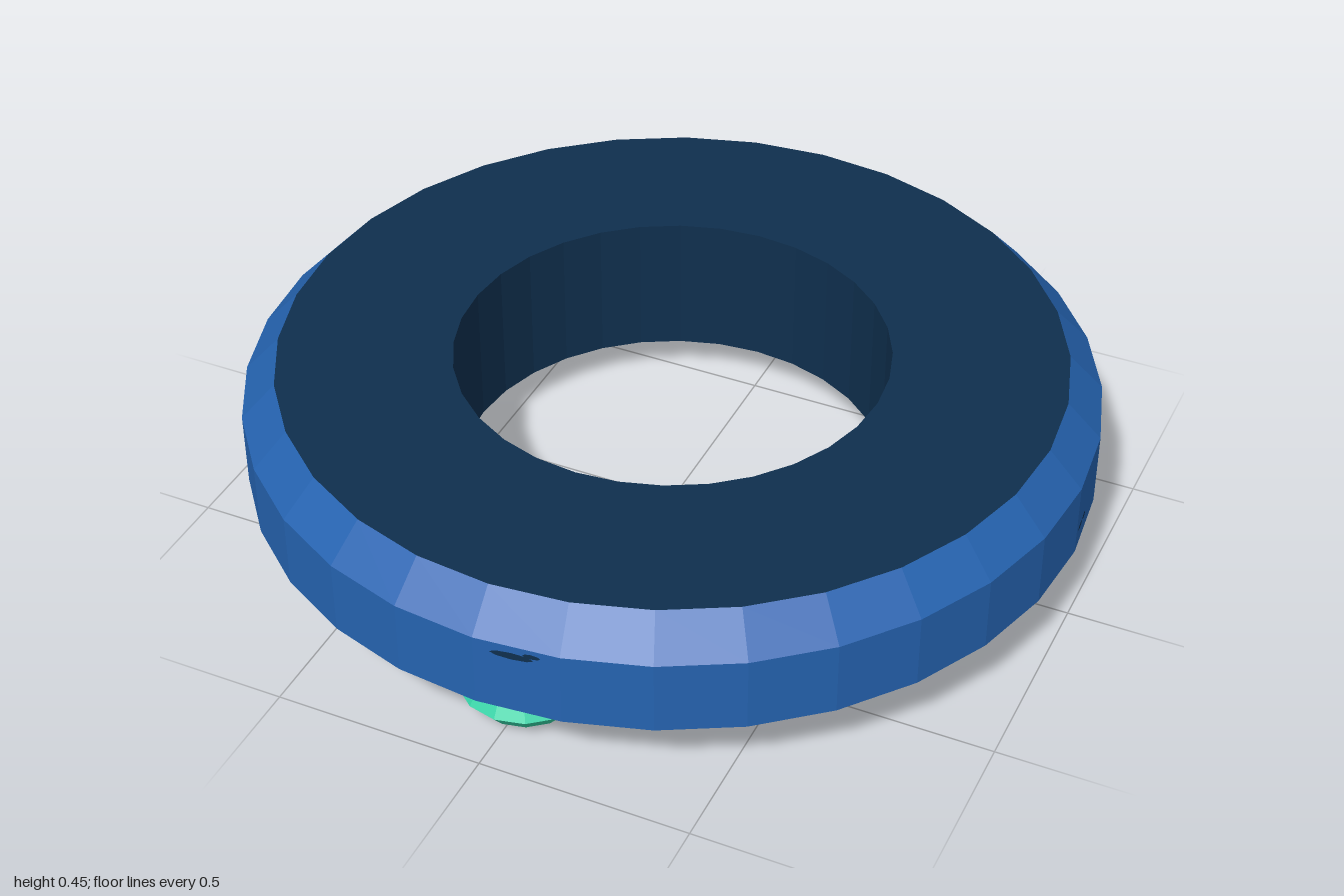
import * as THREE from 'three';

// Turns a profile of [radius, height] points, listed bottom to top on outer faces, into a faceted solid
function facetedLathe(profile, sides) {
  const points = profile.map(([r, y]) => new THREE.Vector2(r, y));
  const geometry = new THREE.LatheGeometry(points, sides).toNonIndexed();
  geometry.computeVertexNormals();
  return geometry;
}

export function createModel() {
  const model = new THREE.Group();
  model.name = 'footedRing';

  const blue = new THREE.MeshStandardMaterial({ name: 'blue', color: 0x2563b0 });
  const navy = new THREE.MeshStandardMaterial({ name: 'navy', color: 0x0f2f4e });
  const mint = new THREE.MeshStandardMaterial({ name: 'mint', color: 0x34d3a6 });

  function add(name, geometry, material) {
    const mesh = new THREE.Mesh(geometry, material);
    mesh.name = name;
    model.add(mesh);
    return mesh;
  }

  // Ring body: blue chamfered rim around a navy core with a round hole
  const SIDES = 32;
  add('outerRim', facetedLathe([[0.85, 0.1], [1, 0.185], [1, 0.365], [0.92, 0.45]], SIDES), blue);
  add('topFace', facetedLathe([[0.92, 0.45], [0.51, 0.45]], SIDES), navy);
  add('innerWall', facetedLathe([[0.51, 0.45], [0.51, 0.1]], SIDES), navy);
  add('bottomFace', facetedLathe([[0.51, 0.1], [0.85, 0.1]], SIDES), navy);

  // Four flattened round feet, one on each axis
  const footShape = facetedLathe(
    [[0, 0], [0.12, 0.022], [0.155, 0.065], [0.13, 0.105], [0, 0.125]], 14);
  for (let i = 0; i < 4; i++) {
    const angle = i * Math.PI / 2;
    add('foot', footShape, mint)
      .position.set(0.77 * Math.sin(angle), 0, 0.77 * Math.cos(angle));
  }

  // Small dark chips lying flat on the rim facets
  const facetAngle = Math.PI / SIDES;
  const apothem = Math.cos(facetAngle);
  function addChip(turn, offset, y, width, height) {
    const geometry = new THREE.CircleGeometry(0.5, 8);
    geometry.scale(width, height, 1);
    geometry.translate(offset, y, apothem + 0.002);
    geometry.rotateY(turn + facetAngle);
    add('rimChip', geometry, navy);
  }
  addChip(0, -0.01, 0.34, 0.1, 0.018);
  addChip(0, 0.035, 0.35, 0.04, 0.012);
  addChip(Math.PI / 2, -0.073, 0.243, 0.04, 0.014);
  addChip(Math.PI / 2, -0.037, 0.245, 0.03, 0.014);

  return model;
}
